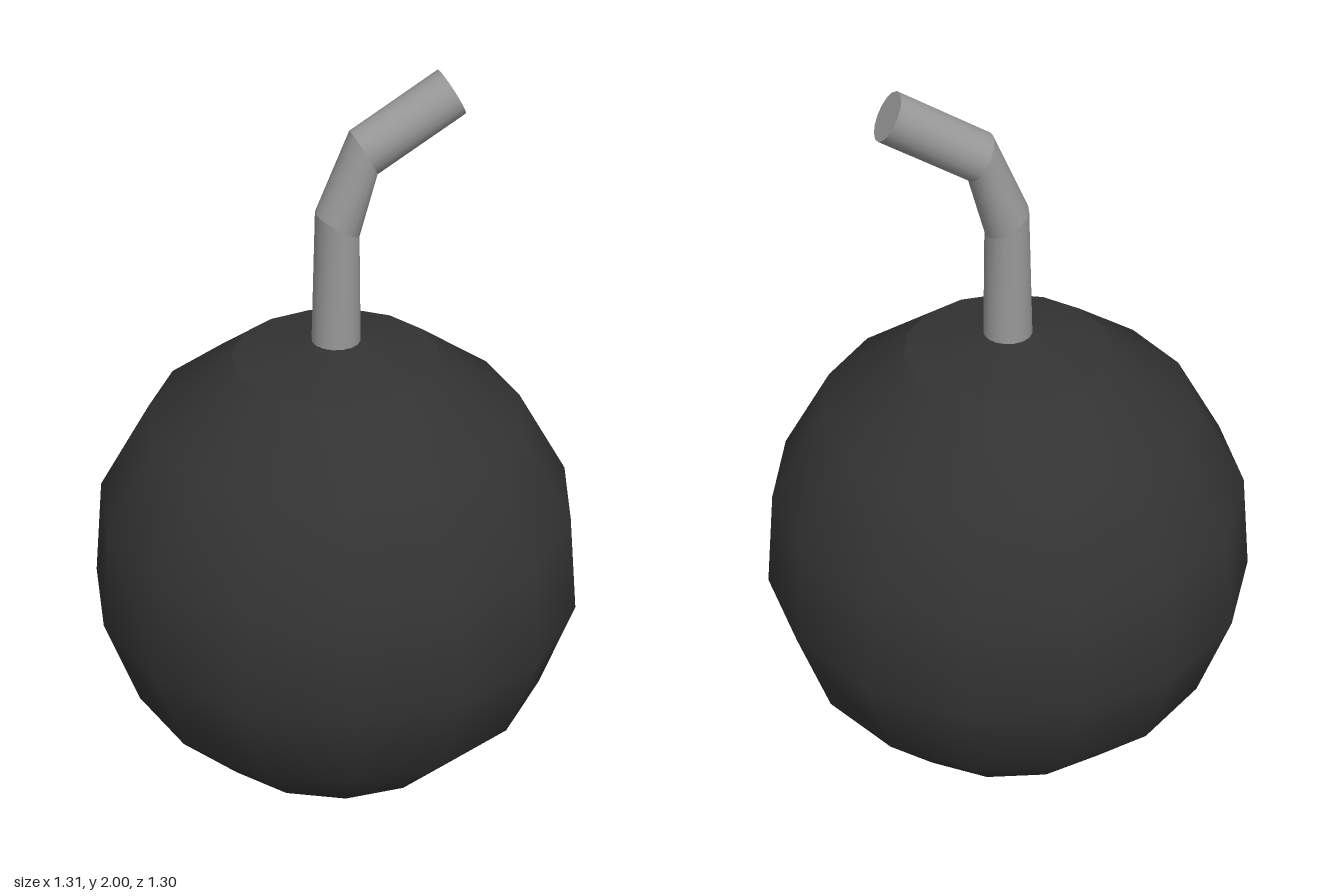
import * as THREE from 'three';
import { toCreasedNormals } from 'three/addons/utils/BufferGeometryUtils.js';

const black = new THREE.MeshStandardMaterial({ color: 0x333333 });
black.name = 'bodyBlack';
const grey = new THREE.MeshStandardMaterial({ color: 0x999999 });
grey.name = 'fuseGrey';

const SIDES = 15;
const RADIUS = 0.66;
const CENTRE_Y = 0.665;
const FUSE_RADIUS = 0.063;

// Point of the ball's profile at a polar angle measured from the top
function profilePoint(step) {
  const a = (step * 2 * Math.PI) / SIDES;
  return new THREE.Vector2(RADIUS * Math.sin(a), CENTRE_Y + RADIUS * Math.cos(a));
}

function lathe(name, points) {
  const mesh = new THREE.Mesh(new THREE.LatheGeometry(points, SIDES, Math.PI), black);
  mesh.name = name;
  return mesh;
}

// One fuse piece: a cylinder whose two ends are moved onto tilted circles
function fuseSegment(lower, upper, open) {
  const geo = new THREE.CylinderGeometry(FUSE_RADIUS, FUSE_RADIUS, 1, 16, 1, open);
  const pos = geo.attributes.position;
  for (let i = 0; i < pos.count; i++) {
    const ring = pos.getY(i) > 0 ? upper : lower;
    const x = pos.getX(i);
    pos.setXYZ(i, ring.x + x * Math.cos(ring.tilt), ring.y - x * Math.sin(ring.tilt), pos.getZ(i));
  }
  return new THREE.Mesh(toCreasedNormals(geo, Math.PI / 5), grey);
}

export function createModel() {
  const model = new THREE.Group();
  model.name = 'roundBomb';

  // Ball, from the pointed bottom up to the edge of the cap
  const ball = [new THREE.Vector2(0, 0)];
  for (let step = 6; step >= 1; step--) ball.push(profilePoint(step));
  model.add(lathe('ball', ball));

  // Shallow cap with a crisp rim
  model.add(lathe('topCap', [profilePoint(1), new THREE.Vector2(0, 1.328)]));

  // Bent fuse
  const fuse = new THREE.Group();
  fuse.name = 'fuse';
  const rings = [
    { x: 0, y: 1.31, tilt: 0 },
    { x: 0.003, y: 1.632, tilt: Math.PI / 6 },
    { x: 0.069, y: 1.812, tilt: Math.PI / 3 },
    { x: 0.291, y: 1.945, tilt: Math.PI / 3 },
  ];
  for (let i = 0; i < 3; i++) {
    const segment = fuseSegment(rings[i], rings[i + 1], i < 2);
    segment.name = ['fuseBase', 'fuseBend', 'fuseTip'][i];
    fuse.add(segment);
  }
  model.add(fuse);

  model.position.z = 0.006;
  return model;
}
